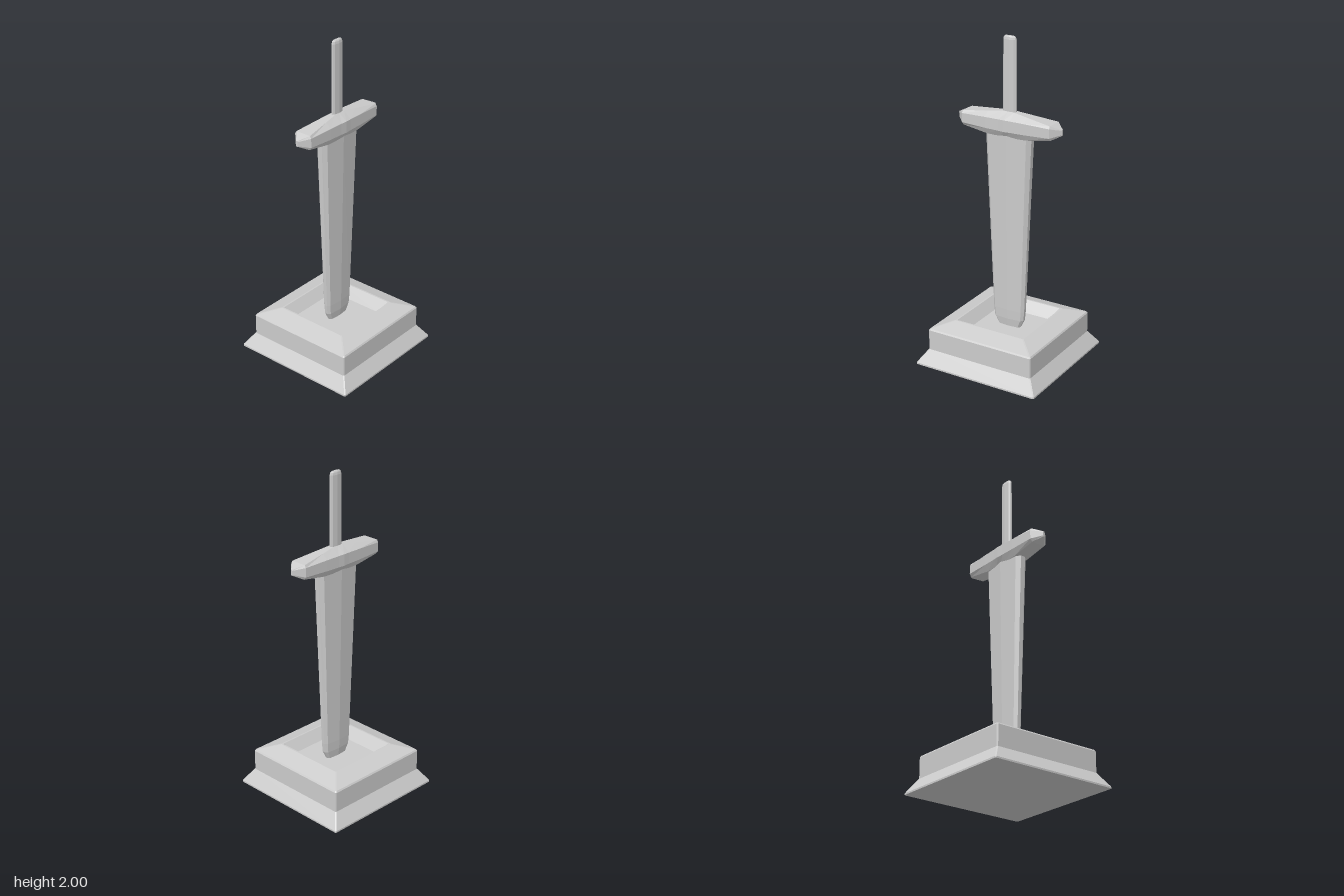
import * as THREE from 'three';

const material = new THREE.MeshStandardMaterial({ color: 0xcccccc, flatShading: true, side: THREE.DoubleSide });

// Skin a list of rings (arrays of [x, y, z]) and close both ends.
function loft(name, rings) {
  const n = rings[0].length, last = (rings.length - 1) * n, index = [];
  for (let r = 0; r < rings.length - 1; r++) {
    for (let i = 0; i < n; i++) {
      const a = r * n + i, b = r * n + (i + 1) % n;
      index.push(a, a + n, b + n, a, b + n, b);
    }
  }
  for (let i = 1; i < n - 1; i++) {
    index.push(0, i, i + 1, last, last + i + 1, last + i);
  }
  const indexed = new THREE.BufferGeometry();
  indexed.setAttribute('position', new THREE.Float32BufferAttribute(rings.flat(2), 3));
  indexed.setIndex(index);
  const geometry = indexed.toNonIndexed();
  geometry.computeVertexNormals();
  const mesh = new THREE.Mesh(geometry, material);
  mesh.name = name;
  return mesh;
}

// Square ring with slightly clipped corners.
function squareRing(h, y, c = 0.006) {
  const k = h - c;
  return [[h, -k], [h, k], [k, h], [-k, h], [-h, k], [-h, -k], [-k, -h], [k, -h]]
    .map(([x, z]) => [x, y, z]);
}

// Flat blade section: thin edge, bevel, and a shallow central ridge.
function bladeRing(w, t, y, bevel = 0.85) {
  const b = w * bevel;
  return [[w, -t * 0.3], [w, t * 0.3], [b, t * 0.75], [0, t], [-b, t * 0.75],
    [-w, t * 0.3], [-w, -t * 0.3], [-b, -t * 0.75], [0, -t], [b, -t * 0.75]]
    .map(([x, z]) => [x, y, z]);
}

// Guard section across x: side width, flat top width/height, bottom width/depth.
function guardRing(x, side, sideH, topW, topY, botW, botY) {
  return [[side, -sideH], [side, sideH], [topW, topY], [-topW, topY],
    [-side, sideH], [-side, -sideH], [-botW, -botY], [botW, -botY]]
    .map(([z, y]) => [x, 1.487 + y, z]);
}

export function createModel() {
  const model = new THREE.Group();
  model.name = 'swordOnPedestal';

  // Pedestal with flared foot, sloped shoulder and sunken top
  const profile = [[0.41, 0], [0.41, 0.01], [0.354, 0.092], [0.354, 0.218], [0.348, 0.227],
    [0.238, 0.265], [0.228, 0.265], [0.178, 0.2]];
  model.add(loft('pedestal', profile.map(([h, y]) => squareRing(h, y))));

  const sword = new THREE.Group();
  sword.name = 'sword';
  sword.position.x = 0.004;

  // Blade, narrowing downwards into the pedestal
  sword.add(loft('blade', [
    bladeRing(0.07, 0.022, 0.19),
    bladeRing(0.1, 0.031, 0.25),
    bladeRing(0.106, 0.034, 0.31),
    bladeRing(0.153, 0.052, 1.44),
  ]));

  // Cross guard, mirrored about its middle
  const half = [
    [0.04, 0.068, 0.034, 0.018, 0.073, 0.045, 0.073],
    [0.13, 0.066, 0.033, 0.03, 0.062, 0.045, 0.071],
    [0.29, 0.059, 0.028, 0.05, 0.043, 0.045, 0.045],
    [0.344, 0.006, 0.012, 0.004, 0.017, 0.004, 0.017],
  ];
  const left = half.map(([x, ...s]) => guardRing(x, ...s));
  const right = half.map(([x, ...s]) => guardRing(-x, ...s)).reverse();
  const middle = guardRing(0, 0.071, 0.035, 0.018, 0.073, 0.045, 0.073);
  sword.add(loft('guard', [...right, middle, ...left]));

  // Slim grip with bevelled end
  sword.add(loft('grip', [
    bladeRing(0.043, 0.018, 1.53, 0.75),
    bladeRing(0.041, 0.017, 1.98, 0.75),
    bladeRing(0.037, 0.014, 1.994, 0.75),
    bladeRing(0.03, 0.01, 2, 0.75),
  ]));

  model.add(sword);
  return model;
}
